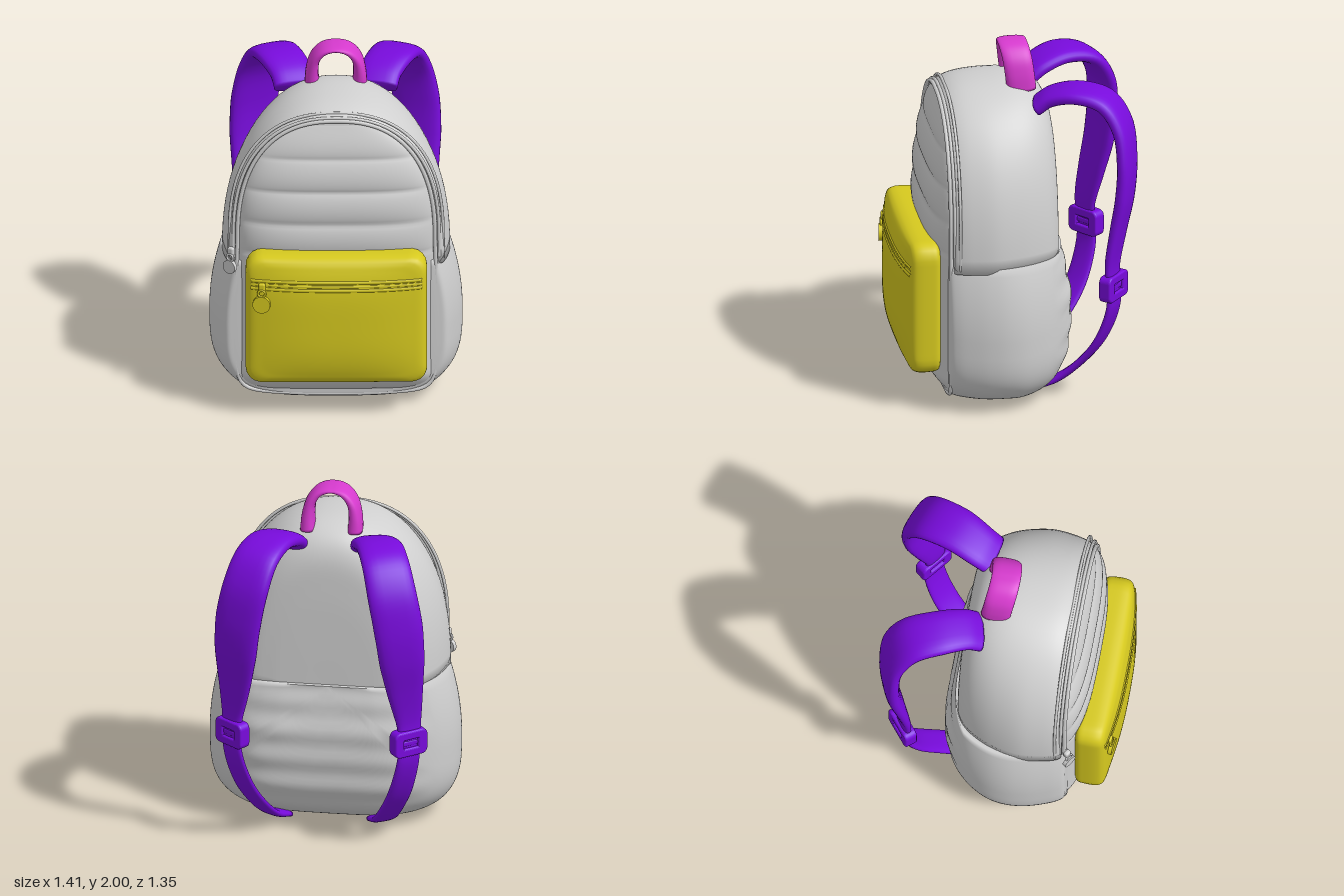
import * as THREE from 'three';
import { RoundedBoxGeometry } from 'three/addons/geometries/RoundedBoxGeometry.js';

const V = (x, y, z) => new THREE.Vector3(x, y, z);
const { lerp, smoothstep, clamp } = THREE.MathUtils;
const spow = (v, p) => Math.sign(v) * Math.pow(Math.abs(v), p);

// Skin a list of closed rings (counter-clockwise about the direction of travel)
function skin(rings) {
  const n = rings[0].length, pos = [], idx = [];
  rings.forEach(r => r.forEach(p => pos.push(p.x, p.y, p.z)));
  for (let i = 0; i < rings.length - 1; i++) {
    for (let j = 0; j < n; j++) {
      const a = i * n + j, b = i * n + (j + 1) % n;
      idx.push(a, b, b + n, a, b + n, a + n);
    }
  }
  const g = new THREE.BufferGeometry();
  g.setAttribute('position', new THREE.Float32BufferAttribute(pos, 3));
  g.setIndex(idx);
  g.computeVertexNormals();
  return g;
}

// Loft an outline along z; layers are [z, scaleX, scaleY] about height cy
function loft(outline, cy, layers, steps, bump = () => 0) {
  const curve = new THREE.CatmullRomCurve3(layers.map(l => V(...l)), false, 'centripetal');
  const rings = curve.getPoints(steps).map(l => outline.map(([x, y]) => {
    const px = x * l.y, py = cy + (y - cy) * l.z;
    return V(px, py, l.x + bump(px, py, l.x));
  }));
  return skin(rings);
}

// Sweep a flat rounded band along a path; across(k) is its width direction, size(k) its [width, thickness]
function band(points, across, size, steps) {
  const curve = new THREE.CatmullRomCurve3(points.map(p => V(...p)));
  const rings = [];
  for (let i = 0; i <= steps; i++) {
    const k = i / steps, c = curve.getPoint(k), t = curve.getTangent(k);
    const b = across(k);
    b.addScaledVector(t, -b.dot(t)).normalize();
    const n = t.clone().cross(b), [w, h] = size(k);
    const ring = s => Array.from({ length: 24 }, (_, j) => {
      const a = j / 24 * Math.PI * 2;
      return c.clone().addScaledVector(b, s * w / 2 * spow(Math.cos(a), 0.75))
        .addScaledVector(n, s * h / 2 * spow(Math.sin(a), 0.8));
    });
    if (i === 0) rings.push(ring(0));
    rings.push(ring(1));
    if (i === steps) rings.push(ring(0));
  }
  return skin(rings);
}

const tube = (pts, r, closed = false) =>
  new THREE.TubeGeometry(new THREE.CatmullRomCurve3(pts, closed), 160, r, 8, closed);

// Arch line: straight sides from y0, rounded top
function arch(w, top, y0, z) {
  const pts = [V(w, y0, z)];
  for (let i = 0; i <= 32; i++) {
    const a = i / 32 * Math.PI;
    pts.push(V(w * spow(Math.cos(a), 2 / 2.4), 1 + (top - 1) * Math.pow(Math.abs(Math.sin(a)), 2 / 2.4), z));
  }
  pts.push(V(-w, y0, z));
  return pts;
}

// Rounded rectangle centred on the origin
function roundedRect(Kind, hw, hh, r) {
  const p = new Kind();
  p.absarc(hw - r, hh - r, r, 0, Math.PI / 2);
  p.absarc(r - hw, hh - r, r, Math.PI / 2, Math.PI);
  p.absarc(r - hw, r - hh, r, Math.PI, Math.PI * 1.5);
  p.absarc(hw - r, r - hh, r, Math.PI * 1.5, Math.PI * 2);
  p.closePath();
  return p;
}

export function createModel() {
  const model = new THREE.Group();
  const mat = (name, color) => {
    const m = new THREE.MeshStandardMaterial({ color });
    m.name = name;
    return m;
  };
  const grey = mat('grey fabric', 0xd0d0d0), yellow = mat('yellow pocket', 0xd6c91f);
  const purple = mat('purple strap', 0x780bdc), pink = mat('pink handle', 0xd63ace);
  const add = (name, geo, m, parent = model) => {
    const mesh = new THREE.Mesh(geo, m);
    mesh.name = name;
    parent.add(mesh);
    return mesh;
  };

  // Upper body: arched shell
  const upper = [];
  for (let i = 0; i <= 48; i++) {
    const a = i / 48 * Math.PI;
    upper.push([0.635 * spow(Math.cos(a), 2 / 2.25), 0.84 + 0.955 * Math.pow(Math.abs(Math.sin(a)), 2 / 2.25)]);
  }
  add('upperBody', loft(upper, 0.84, [[-0.238, 0, 0], [-0.238, 0.3, 0.3], [-0.234, 0.52, 0.62], [-0.217, 0.69, 0.82],
    [-0.17, 0.8, 0.92], [-0.1, 0.88, 0.975], [0, 0.95, 1], [0.15, 1, 1], [0.28, 0.98, 0.985], [0.345, 0.955, 0.962],
    [0.38, 0.93, 0.935], [0.39, 0.87, 0.87], [0.39, 0, 0]], 70), grey);

  // Lower body: wider base with a padded back
  const lower = [];
  const side = y => 0.705 - 0.07 * ((y - 0.45) / 0.42) ** 2;
  for (let i = 0; i < 10; i++) { const y = 0.87 - 0.042 * i; lower.push([-side(y), y]); }
  for (let i = 0; i <= 48; i++) {
    const a = Math.PI * (1 + i / 48);
    lower.push([0.705 * spow(Math.cos(a), 2 / 3.6), 0.45 + 0.45 * spow(Math.sin(a), 2 / 3.6)]);
  }
  for (let i = 9; i >= 0; i--) { const y = 0.87 - 0.042 * i; lower.push([side(y), y]); }
  const padding = (x, y, z) => clamp((-0.17 - z) / 0.12, 0, 1)
    * (0.006 * Math.cos((y - 0.69) / 0.17 * Math.PI * 2) + 0.045 * smoothstep(y, 0.55, 0.87));
  add('lowerBody', loft(lower, 0.87, [[-0.312, 0, 0], [-0.314, 0.25, 0.3], [-0.31, 0.43, 0.54], [-0.287, 0.6, 0.74],
    [-0.245, 0.72, 0.85], [-0.19, 0.82, 0.92], [-0.11, 0.91, 0.97], [0, 0.98, 1], [0.1, 1, 1], [0.2, 0.985, 1],
    [0.3, 0.945, 0.99], [0.37, 0.905, 0.975], [0.405, 0.87, 0.955], [0.415, 0.8, 0.9], [0.415, 0, 0]], 90, padding), grey);

  // Quilted front panel with horizontal seams
  const panel = [];
  for (let i = 0; i <= 140; i++) {
    const y = 0.07 + 1.65 * Math.sin(i / 140 * Math.PI / 2);
    const t = Math.max(0, (y - 1) / 0.72);
    let w = 0.55 * Math.pow(Math.max(0, 1 - t ** 2.4), 1 / 2.4);
    if (y < 0.19) w = 0.43 + Math.sqrt(Math.max(0, 0.0144 - (0.19 - y) ** 2));
    const puff = y > 0.93 ? 0.025 * Math.sqrt(Math.abs(Math.sin((y - 1.12) / 0.19 * Math.PI))) * (1 - t ** 4) : 0.015;
    const depth = (0.485 - 0.1 * t * t + puff - 0.37) * Math.sqrt(Math.min(1, (y - 0.07) / 0.1));
    const row = [];
    for (let j = 0; j <= 32; j++) {
      const u = Math.sin((j / 16 - 1) * Math.PI / 2);
      row.push(V(u * w, y, 0.37 + depth * Math.sqrt(Math.max(0, 1 - Math.abs(u) ** 3))));
    }
    panel.push(row);
  }
  add('frontPanel', skin(panel), grey);

  // Piping around the panel and the main zip track
  const piping = arch(0.55, 1.72, 0.19, 0.402);
  piping.push(V(-0.515, 0.105, 0.402), V(-0.43, 0.07, 0.402), V(0.43, 0.07, 0.402), V(0.515, 0.105, 0.402));
  add('panelPiping', tube(piping, 0.012, true), grey);
  add('zipTrackInner', tube(arch(0.573, 1.73, 0.88, 0.384), 0.01), grey);
  add('zipTrackOuter', tube(arch(0.595, 1.748, 0.86, 0.355), 0.009), grey);

  // Front pocket: rounded rectangle with a smoothly bulging face
  const rect = roundedRect(THREE.Path, 0.505, 0.387, 0.085).getSpacedPoints(110).slice(0, -1).map(p => [p.x, p.y + 0.588]);
  const bulge = (x, y) => 0.064 * Math.max(0, 1 - Math.abs(x / 0.505) ** 2.5) * Math.max(0, 1 - Math.abs((y - 0.588) / 0.387) ** 3.4);
  add('frontPocket', loft(rect, 0.588, [[0.44, 0, 0], [0.445, 0.9, 0.9], [0.47, 0.99, 0.99], [0.51, 1, 1], [0.56, 1, 1],
    [0.588, 0.99, 0.985], [0.604, 0.965, 0.955], [0.612, 0.92, 0.9], [0.613, 0.8, 0.8], [0.613, 0.6, 0.6], [0.613, 0.4, 0.4],
    [0.613, 0.2, 0.2], [0.613, 0, 0]], 80, (x, y, z) => bulge(x, y) * smoothstep(z, 0.56, 0.61)), yellow);
  [0.845, 0.822, 0.8].forEach((y, i) => {
    const line = [];
    for (let k = -12; k <= 12; k++) {
      const x = k / 12 * 0.475;
      line.push(V(x, y, 0.606 + bulge(x, y)));
    }
    add('pocketZipLine', tube(line, i === 1 ? 0.01 : 0.012), yellow);
  });

  // Zip pulls: slider, link and round tab
  const pull = (name, x, y, z, r, turn, m) => {
    const g = new THREE.Group();
    g.name = name;
    g.position.set(x, y, z);
    g.rotation.y = turn;
    add('slider', new RoundedBoxGeometry(0.04, 0.05, 0.03, 2, 0.012), m, g);
    add('link', new THREE.TorusGeometry(0.02, 0.007, 8, 16), m, g).position.set(0, -0.035, 0.012);
    const tab = add('tab', new THREE.CylinderGeometry(r, r, 0.022, 28), m, g);
    tab.position.set(0, -0.05 - r, 0.014);
    tab.rotation.x = Math.PI / 2;
    model.add(g);
  };
  pull('pocketZipPull', -0.415, 0.81, 0.635, 0.05, -0.15, yellow);
  pull('mainZipPull', -0.585, 0.935, 0.425, 0.04, -0.6, grey);

  // Top carry handle, thicker towards its ends
  add('handle', band([[-0.133, 1.74, -0.06], [-0.132, 1.83, -0.05], [-0.115, 1.91, -0.04], [-0.07, 1.965, -0.03],
    [0, 1.985, -0.025], [0.07, 1.965, -0.03], [0.115, 1.91, -0.04], [0.132, 1.83, -0.05], [0.133, 1.74, -0.06]],
  () => V(0, 0, 1), k => [0.165, 0.03 + 0.055 * Math.abs(2 * k - 1)], 48), pink);

  // Buckle frame with a slot on each side of its bar
  const frame = roundedRect(THREE.Shape, 0.095, 0.066, 0.025);
  frame.holes.push(roundedRect(THREE.Path, 0.055, 0.035, 0.01));
  const frameGeo = new THREE.ExtrudeGeometry(frame, { depth: 0.05, bevelSize: 0.01, bevelThickness: 0.012, bevelSegments: 3, curveSegments: 6 });
  frameGeo.translate(0, 0, -0.025);

  // Shoulder straps, wide and padded above the buckle, narrow and turned outwards below
  const path = [[0.23, 1.685, -0.135], [0.25, 1.74, -0.21], [0.31, 1.775, -0.35], [0.365, 1.735, -0.5], [0.41, 1.6, -0.585],
    [0.45, 1.4, -0.605], [0.468, 1.2, -0.59], [0.48, 1, -0.55], [0.495, 0.8, -0.515], [0.5, 0.68, -0.52], [0.49, 0.55, -0.52],
    [0.44, 0.35, -0.46], [0.38, 0.2, -0.365], [0.32, 0.08, -0.24], [0.27, 0.025, -0.12]];
  const widths = [0.23, 0.24, 0.26, 0.27, 0.28, 0.28, 0.26, 0.21, 0.15, 0.13, 0.14, 0.15, 0.15, 0.15, 0.14];
  const turns = [0.24, 0.28, 0.34, 0.38, 0.38, 0.38, 0.4, 0.48, 0.6, 0.65, 0.65, 0.62, 0.58, 0.55, 0.52];
  const sample = (list, k) => {
    const i = Math.min(13, Math.floor(k * 14));
    return lerp(list[i], list[i + 1], k * 14 - i);
  };
  const strapSize = k => [sample(widths, k), lerp(0.088, 0.042, smoothstep(k, 0.4, 0.65))];
  for (const s of [1, -1]) {
    const label = s > 0 ? 'left' : 'right';
    const across = k => V(Math.cos(sample(turns, k)), 0, s * Math.sin(sample(turns, k)));
    add(label + 'Strap', band(path.map(([x, y, z]) => [s * x, y, z]), across, strapSize, 90), purple);
    const buckle = new THREE.Group();
    buckle.name = label + 'Buckle';
    buckle.position.set(s * 0.495, 0.68, -0.522);
    buckle.rotation.y = -s * 0.68;
    add('buckleFrame', frameGeo, purple, buckle);
    add('buckleBar', new RoundedBoxGeometry(0.12, 0.03, 0.05, 2, 0.008), purple, buckle);
    model.add(buckle);
  }
  return model;
}
